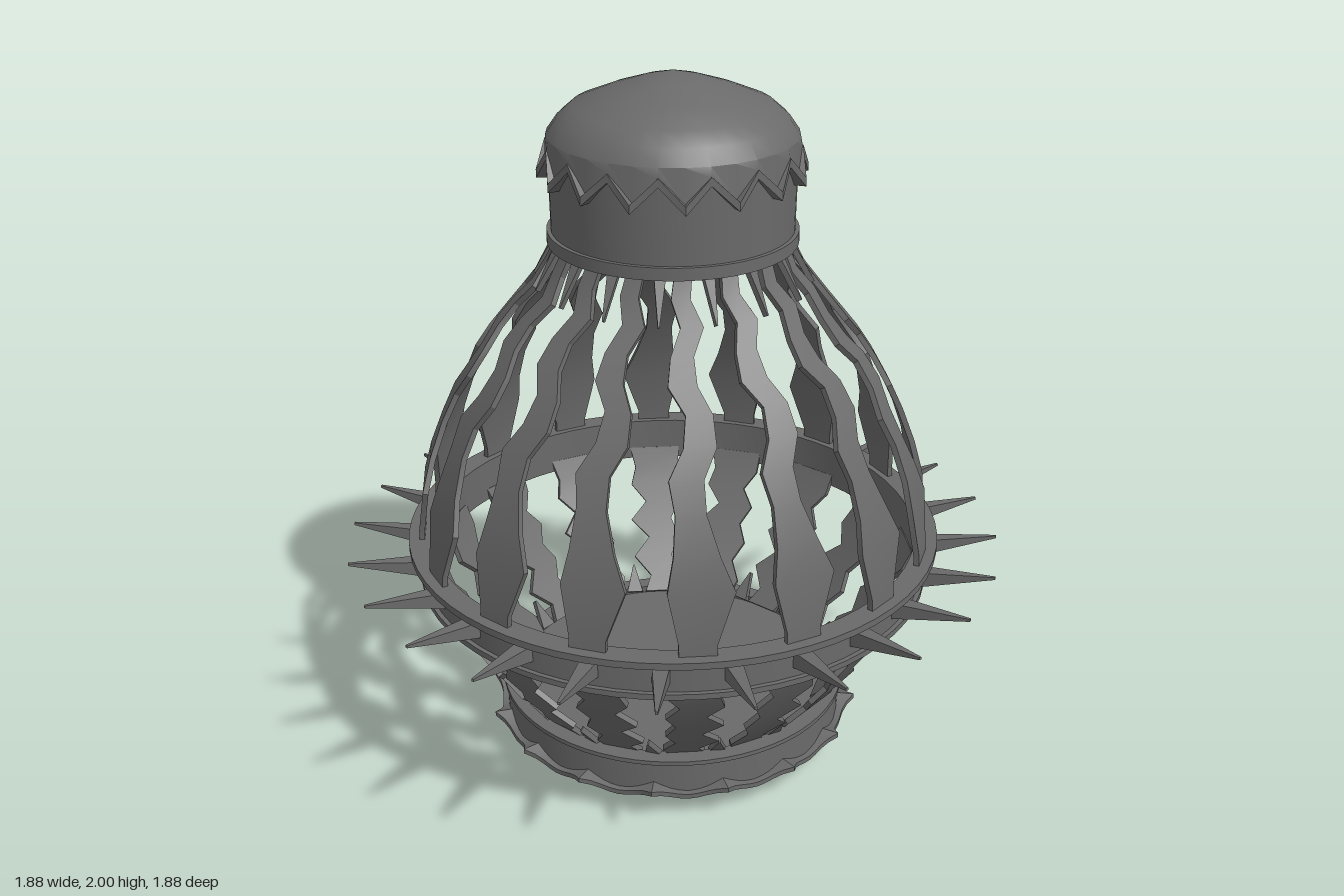
import * as THREE from 'three';
import { toCreasedNormals } from 'three/addons/utils/BufferGeometryUtils.js';

const iron = new THREE.MeshStandardMaterial({ color: 0x6a6a6a });
iron.name = 'dark iron';

function add(parent, name, geometry) {
  const mesh = new THREE.Mesh(geometry, iron);
  mesh.name = name;
  parent.add(mesh);
  return mesh;
}

// Turned solid; an optional rule moves each vertex by its angle around the axis
function turned(points, segments = 64, rule = null) {
  const geo = new THREE.LatheGeometry(points.map(([r, y]) => new THREE.Vector2(r, y)), segments);
  if (rule) {
    const p = geo.attributes.position;
    for (let i = 0; i < p.count; i++) {
      const x = p.getX(i), z = p.getZ(i), r = Math.hypot(x, z), a = Math.atan2(x, z);
      const [nr, ny] = rule(r, p.getY(i), a);
      p.setXYZ(i, Math.sin(a) * nr, ny, Math.cos(a) * nr);
    }
  }
  return toCreasedNormals(geo, 0.5);
}

// Closed ring with a rectangular section
const ring = (r0, r1, y0, y1, segments, rule) =>
  turned([[r0, y0], [r1, y0], [r1, y1], [r0, y1], [r0, y0]], segments, rule);

// Jagged strap from rows of [y, radius, sideways shift, width], facing +z
function strap(rows, thickness = 0.016) {
  const pos = [], index = [];
  rows.forEach(([y, r, shift, width], i) => {
    const a = rows[Math.max(i - 1, 0)], b = rows[Math.min(i + 1, rows.length - 1)];
    const n = new THREE.Vector2(b[0] - a[0], a[1] - b[1]).normalize().multiplyScalar(thickness);
    const l = shift - width / 2, h = shift + width / 2;
    pos.push(l, y, r, h, y, r, h, y - n.y, r - n.x, l, y - n.y, r - n.x);
    if (i === 0) return;
    for (let k = 0; k < 4; k++) {
      const p = (i - 1) * 4 + k, q = (i - 1) * 4 + (k + 1) % 4;
      index.push(p, q, q + 4, p, q + 4, p + 4);
    }
  });
  const e = (rows.length - 1) * 4;
  index.push(0, 2, 1, 0, 3, 2, e, e + 1, e + 2, e, e + 2, e + 3);
  const geo = new THREE.BufferGeometry();
  geo.setAttribute('position', new THREE.Float32BufferAttribute(pos, 3));
  geo.setIndex(index);
  return toCreasedNormals(geo, 0.4);
}

export function createModel() {
  const model = new THREE.Group();
  model.name = 'cageLantern';

  // Base drum with a shallow pointed underside
  add(model, 'base', turned([[0, 0], [0.36, 0.025], [0.47, 0.045], [0.5, 0.07], [0.5, 0.168],
    [0.51, 0.172], [0.51, 0.185], [0.46, 0.185], [0.46, 0.165], [0, 0.165]]));
  // Scalloped skirt whose cusps point out and up
  add(model, 'baseScallops', ring(0.48, 0.518, 0.066, 0.08, 128, (r, y, a) => {
    const cusp = 1 - Math.abs(Math.cos(8 * a));
    return [r > 0.5 ? r + 0.032 * cusp * cusp : r, y + 0.03 * cusp];
  }));

  // Waist band with two flanges
  add(model, 'waistBand', turned([[0.7, 0.54], [0.735, 0.54], [0.735, 0.557], [0.722, 0.557],
    [0.722, 0.645], [0.765, 0.65], [0.765, 0.67], [0.7, 0.67], [0.7, 0.54]]));

  // Spikes around the waist
  const spikes = new THREE.Group();
  spikes.name = 'waistSpikes';
  model.add(spikes);
  const root = new THREE.Vector3(0, 0.608, 0.715), tip = new THREE.Vector3(0, 0.64, 0.94);
  const axis = tip.clone().sub(root);
  const spikeGeo = new THREE.CylinderGeometry(0.005, 0.034, axis.length(), 4, 1).toNonIndexed();
  spikeGeo.rotateY(Math.PI / 4);
  spikeGeo.computeVertexNormals();
  spikeGeo.applyQuaternion(new THREE.Quaternion().setFromUnitVectors(
    new THREE.Vector3(0, 1, 0), axis.clone().normalize()));
  spikeGeo.translate(0, (root.y + tip.y) / 2, (root.z + tip.z) / 2);
  for (let i = 0; i < 24; i++) add(spikes, 'spike', spikeGeo).rotation.y = i * Math.PI / 12;

  // Sixteen jagged ribs above and below the waist, with thorns in the gaps at both ends
  const ribParts = {
    upperRib: strap([
      [0.64, 0.735, 0, 0.1], [0.7, 0.732, 0, 0.1], [0.84, 0.712, 0.01, 0.175], [0.93, 0.688, 0, 0.12],
      [1.03, 0.65, -0.012, 0.08], [1.11, 0.612, -0.02, 0.09], [1.18, 0.573, 0.018, 0.085],
      [1.25, 0.527, 0.02, 0.07], [1.31, 0.483, -0.018, 0.075], [1.37, 0.435, -0.015, 0.06],
      [1.43, 0.385, 0.015, 0.06], [1.49, 0.343, -0.01, 0.05], [1.56, 0.312, 0, 0.045]]),
    lowerRib: strap([
      [0.17, 0.45, 0, 0.1], [0.21, 0.485, -0.02, 0.1], [0.26, 0.526, 0.02, 0.12],
      [0.31, 0.563, -0.02, 0.1], [0.36, 0.597, 0.02, 0.13], [0.41, 0.628, -0.02, 0.11],
      [0.46, 0.657, 0.02, 0.12], [0.51, 0.684, -0.005, 0.14], [0.57, 0.71, 0, 0.16]]),
    lowerThorn: strap([[0.17, 0.45, 0.085, 0.05], [0.24, 0.505, 0.085, 0.004]]),
    upperThorn: strap([[1.43, 0.38, -0.07, 0.004], [1.56, 0.31, -0.06, 0.035]]),
  };
  const ribs = new THREE.Group();
  ribs.name = 'ribs';
  model.add(ribs);
  for (let i = 0; i < 16; i++) {
    for (const [name, geo] of Object.entries(ribParts)) add(ribs, name, geo).rotation.y = i * Math.PI / 8;
  }

  // Hollow neck with a collar
  add(model, 'neck', turned([[0, 1.78], [0.31, 1.78], [0.31, 1.56], [0.33, 1.56], [0.335, 1.8], [0.3, 1.82]]));
  add(model, 'neckCollar', ring(0.29, 0.342, 1.54, 1.575, 64));

  // Domed cap with a zigzag hem and a raised trim that flares at its low points
  const zigzag = (r, y, a) => {
    const wave = Math.cos(16 * a);
    return y > 1.81 ? [r, y] : [r + (r > 0.35 ? 0.01 * wave : 0), y - 0.034 * wave];
  };
  add(model, 'cap', turned([[0.32, 1.775], [0.343, 1.775], [0.338, 1.835], [0.31, 1.875], [0.27, 1.91],
    [0.18, 1.947], [0.09, 1.977], [0, 2]], 32, zigzag));
  add(model, 'capTrim', ring(0.325, 0.355, 1.752, 1.776, 32, zigzag));

  return model;
}
